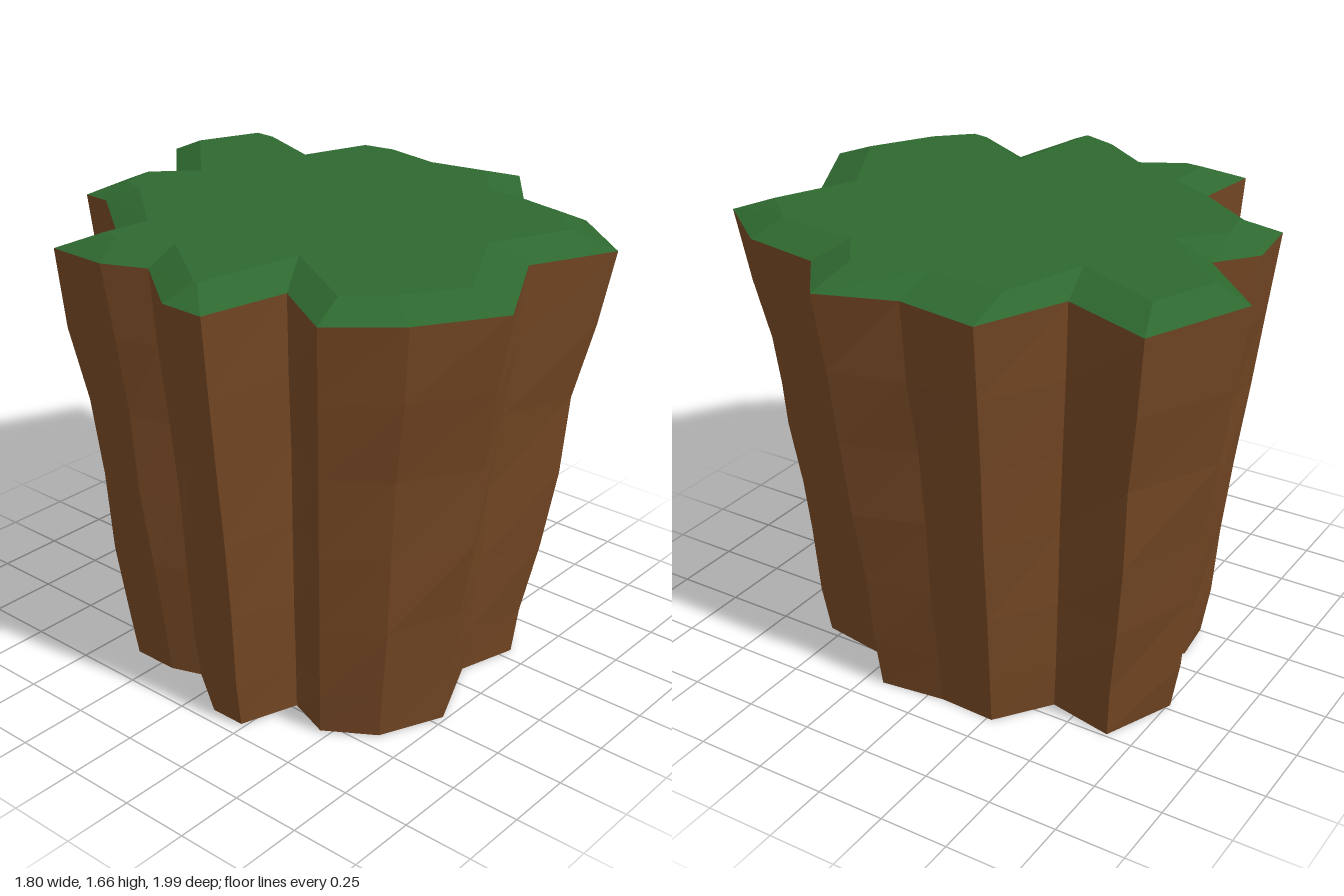
import * as THREE from 'three';

// Outline corners, clockwise from above: rim x,z | base x,z | inner edge of the grass x,z
const CORNERS = [
  [0.30, -1.00, 0.23, -0.76, 0.31, -0.88],
  [0.68, -0.84, 0.49, -0.65, 0.54, -0.79],
  [0.55, -0.51, 0.44, -0.41, 0.39, -0.47],
  [0.86, -0.37, 0.63, -0.27, 0.69, -0.37],
  [0.81, -0.07, 0.62, -0.06, 0.67, -0.08],
  [0.90, 0.20, 0.65, 0.18, 0.72, 0.18],
  [0.68, 0.37, 0.51, 0.30, 0.56, 0.30],
  [0.62, 0.67, 0.47, 0.55, 0.51, 0.62],
  [0.42, 0.92, 0.30, 0.67, 0.37, 0.77],
  [0.11, 0.78, 0.08, 0.61, 0.08, 0.64],
  [-0.28, 0.99, -0.21, 0.74, -0.28, 0.84],
  [-0.56, 0.82, -0.44, 0.64, -0.50, 0.71],
  [-0.74, 0.62, -0.55, 0.47, -0.61, 0.59],
  [-0.59, 0.37, -0.49, 0.31, -0.42, 0.27],
  [-0.905, 0.31, -0.70, 0.24, -0.81, 0.205],
  [-0.905, 0.15, -0.70, 0.11, -0.80, 0.18],
  [-0.72, -0.10, -0.57, -0.08, -0.60, -0.10],
  [-0.79, -0.25, -0.61, -0.19, -0.69, -0.28],
  [-0.79, -0.47, -0.61, -0.36, -0.68, -0.35],
  [-0.54, -0.44, -0.44, -0.36, -0.50, -0.33],
  [-0.33, -0.72, -0.25, -0.56, -0.27, -0.61],
  [-0.33, -0.82, -0.25, -0.64, -0.24, -0.70],
  [-0.10, -0.85, -0.08, -0.66, -0.11, -0.73],
  [0.04, -0.74, 0.03, -0.59, 0.03, -0.60],
];

// Bark levels: height and flare (0 = base outline, 1 = rim outline)
const LEVELS = [[0, 0], [0.19, 0.12], [0.46, 0.29], [0.75, 0.45], [1.04, 0.6], [1.32, 0.83], [1.59, 1]];

const baseY = (x) => 0.006 - 0.006 * x;
const rimY = (z) => 1.595 - 0.01 * z;
const topY = (z) => 1.648 - 0.011 * z;

// Flat-faceted band of quads joining closed rings, listed from bottom to top
function band(rings) {
  const pos = [];
  for (let r = 0; r < rings.length - 1; r++) {
    const lo = rings[r], hi = rings[r + 1], n = lo.length;
    for (let i = 0; i < n; i++) {
      const j = (i + 1) % n;
      pos.push(...lo[j], ...lo[i], ...hi[i], ...lo[j], ...hi[i], ...hi[j]);
    }
  }
  const g = new THREE.BufferGeometry();
  g.setAttribute('position', new THREE.Float32BufferAttribute(pos, 3));
  g.computeVertexNormals();
  return g;
}

// Flat lid filling a ring, facing up (dir = 1) or down (dir = -1)
function lid(ring, dir, height) {
  const shape = new THREE.Shape(ring.map(([x, , z]) => new THREE.Vector2(x, -dir * z)));
  const g = new THREE.ShapeGeometry(shape).rotateX(-dir * Math.PI / 2);
  const p = g.attributes.position;
  for (let i = 0; i < p.count; i++) p.setY(i, height(p.getX(i), p.getZ(i)));
  g.computeVertexNormals();
  return g;
}

export function createModel() {
  const bark = new THREE.MeshStandardMaterial({ color: 0x734623 });
  bark.name = 'bark brown';
  const grass = new THREE.MeshStandardMaterial({ color: 0x2e682f });
  grass.name = 'grass green';

  const group = new THREE.Group();
  group.name = 'stump';
  const add = (name, geometry, material) => {
    const mesh = new THREE.Mesh(geometry, material);
    mesh.name = name;
    group.add(mesh);
  };

  // Bark rings flare from base to rim, with slight unevenness between
  const rings = LEVELS.map(([y, t], k) => CORNERS.map(([rx, rz, bx, bz], i) => {
    const inner = k > 0 && k < LEVELS.length - 1;
    const s = t + (inner ? 0.04 * Math.sin(i * 2.7 + k * 1.9) : 0);
    const x = bx + (rx - bx) * s, z = bz + (rz - bz) * s;
    const h = k === 0 ? baseY(x) : k === LEVELS.length - 1 ? rimY(z) : y + (inner ? 0.01 * Math.sin(i * 1.3 + k) : 0);
    return [x, h, z];
  }));
  const rim = rings[rings.length - 1];
  const top = CORNERS.map(([, , , , x, z]) => [x, topY(z), z]);

  add('barkSides', band(rings), bark);
  add('underside', lid(rings[0], -1, (x) => baseY(x)), bark);
  add('grassBevel', band([rim, top]), grass);
  add('grassTop', lid(top, 1, (x, z) => topY(z)), grass);
  return group;
}
